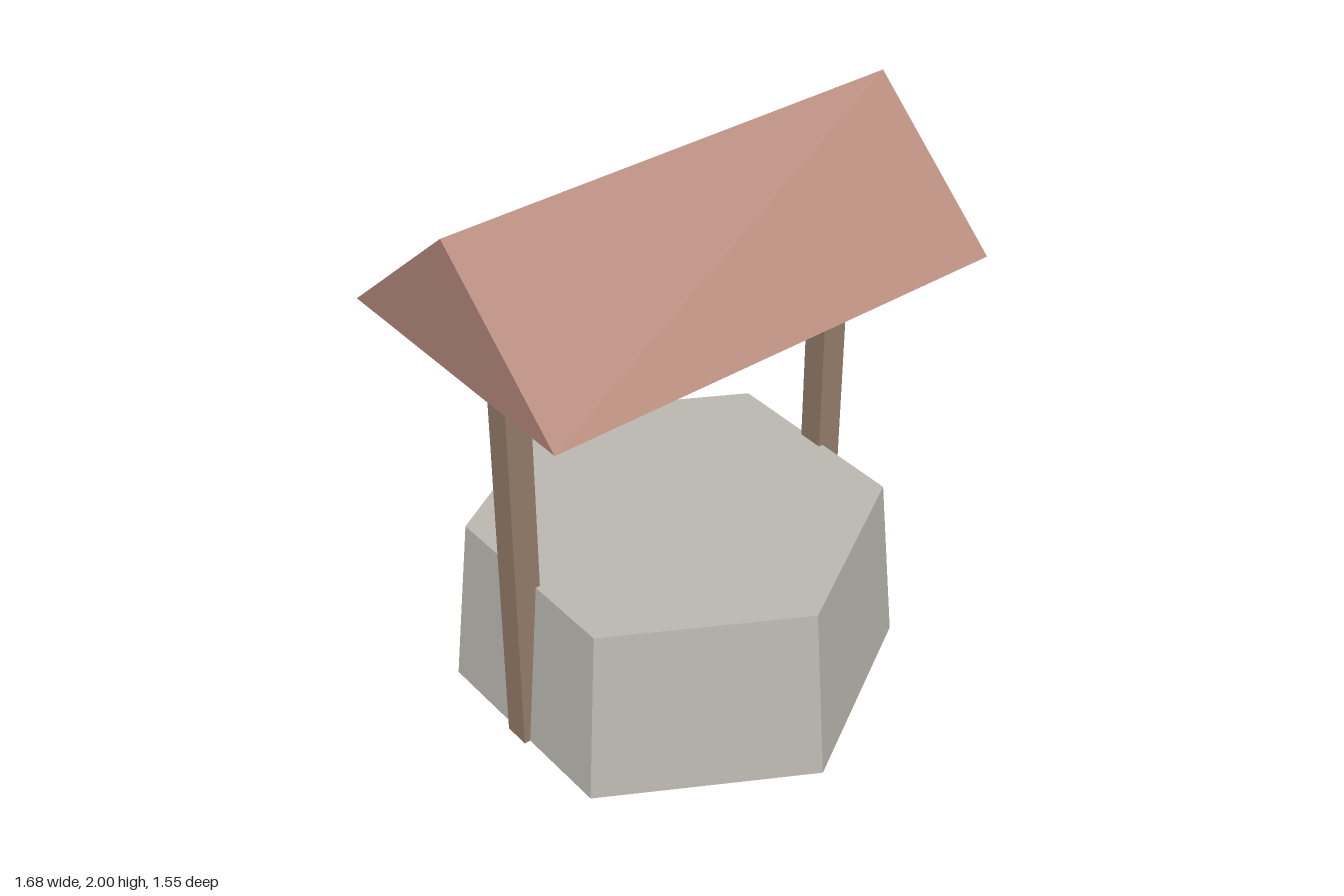
import * as THREE from 'three';

const material = (name, color) => {
  const m = new THREE.MeshStandardMaterial({ color });
  m.name = name;
  return m;
};

export function createModel() {
  const stone = material('stone', 0xbab8b0);
  const wood = material('wood', 0x957d69);
  const clay = material('roofClay', 0xb4887a);
  stone.flatShading = true;

  const well = new THREE.Group();
  well.name = 'well';
  const add = (name, geometry, mat, x, y, z) => {
    const mesh = new THREE.Mesh(geometry, mat);
    mesh.name = name;
    mesh.position.set(x, y, z);
    well.add(mesh);
  };

  // Tapered six-sided base with corners at front and back
  const baseHeight = 0.645;
  add('base', new THREE.CylinderGeometry(0.71, 0.773, baseHeight, 6), stone, 0, baseHeight / 2, 0);

  // Posts on either side, from the ground to the eaves
  const eaves = 1.55;
  for (const [name, side] of [['leftPost', 1], ['rightPost', -1]]) {
    add(name, new THREE.BoxGeometry(0.093, eaves, 0.093), wood, side * 0.645, eaves / 2, 0);
  }

  // Solid gabled roof: a triangle extruded along x
  const length = 1.68;
  const gable = new THREE.Shape([
    new THREE.Vector2(-0.515, 0),
    new THREE.Vector2(0.515, 0),
    new THREE.Vector2(0, 2 - eaves),
  ]);
  const roof = new THREE.ExtrudeGeometry(gable, { depth: length, bevelEnabled: false });
  roof.translate(0, 0, -length / 2).rotateY(Math.PI / 2);
  add('roof', roof, clay, 0, eaves, 0);

  return well;
}
